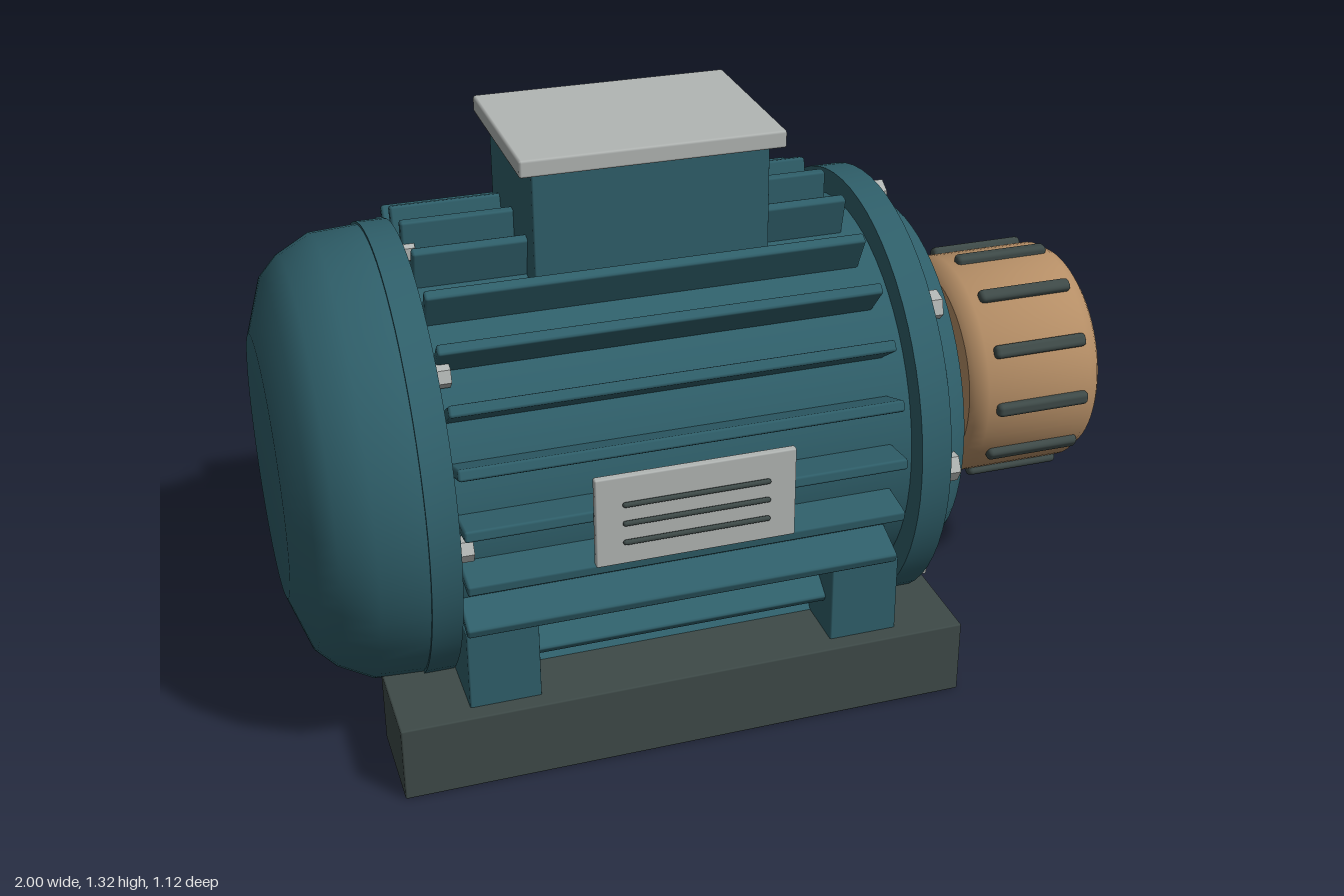
import * as THREE from 'three';
import { toCreasedNormals } from 'three/addons/utils/BufferGeometryUtils.js';
import { RoundedBoxGeometry } from 'three/addons/geometries/RoundedBoxGeometry.js';

const material = (name, color) => {
  const m = new THREE.MeshStandardMaterial({ color });
  m.name = name;
  return m;
};

export function createModel() {
  const teal = material('teal paint', 0x2f5f6a);
  const dark = material('dark rubber', 0x3e4a48);
  const tan = material('tan coupling', 0xb58e66);
  const steel = material('light steel', 0xb2b6b4);

  const model = new THREE.Group();
  model.name = 'electricMotor';

  // Everything that turns or repeats around the shaft hangs on this axis (along x)
  const axis = new THREE.Group();
  axis.name = 'motorAxis';
  axis.position.set(0, 0.575, -0.012);
  model.add(axis);

  const add = (parent, name, geometry, mat, x = 0, y = 0, z = 0) => {
    const mesh = new THREE.Mesh(geometry, mat);
    mesh.name = name;
    mesh.position.set(x, y, z);
    parent.add(mesh);
    return mesh;
  };

  // Turned part: profile of [x, radius] pairs, from -x to +x
  const turned = (name, profile, mat, crease = 0.45) => {
    const points = profile.map(([x, r]) => new THREE.Vector2(r, x));
    const geometry = new THREE.LatheGeometry(points, 64);
    geometry.rotateZ(-Math.PI / 2);
    add(axis, name, toCreasedNormals(geometry, crease), mat);
  };

  // Box given by its limits
  const block = (name, mat, [x0, x1], [y0, y1], [z0, z1], bevel = 0.004) =>
    add(model, name, new RoundedBoxGeometry(x1 - x0, y1 - y0, z1 - z0, 1, bevel), mat,
      (x0 + x1) / 2, (y0 + y1) / 2, (z0 + z1) / 2);

  // Copies of a part set evenly around the shaft, the first one on top
  const ring = (name, count, radius, x, geometry, mat) => {
    const group = new THREE.Group();
    group.name = name + 's';
    for (let i = 0; i < count; i++) {
      const arm = new THREE.Group();
      arm.rotation.x = (i / count) * Math.PI * 2;
      add(arm, name, geometry, mat, x, radius, 0);
      group.add(arm);
    }
    axis.add(group);
  };

  // Housing, rear cowl and front bell
  turned('housing', [[-0.70, 0], [-0.70, 0.46], [0.40, 0.46], [0.40, 0]], teal);
  turned('rearCowl', [[-1, 0], [-1, 0.3], [-0.957, 0.425], [-0.915, 0.468], [-0.84, 0.508],
    [-0.735, 0.514], [-0.70, 0.514]], teal);
  turned('rearFlange', [[-0.735, 0.5], [-0.735, 0.52], [-0.668, 0.52], [-0.668, 0.45]], teal);
  turned('frontFlange', [[0.368, 0.44], [0.368, 0.52], [0.438, 0.52], [0.438, 0.46]], teal);
  turned('frontBell', [[0.43, 0.478], [0.457, 0.476], [0.513, 0.425], [0.548, 0.29], [0.548, 0]], teal);

  // Cooling fins
  ring('coolingFin', 26, 0.495, -0.172, new RoundedBoxGeometry(0.986, 0.11, 0.026, 1, 0.006), teal);

  // Hexagonal bolt heads, flat side outward
  const boltHead = (length, radius) => {
    const geometry = new THREE.CylinderGeometry(radius, radius, length, 6);
    geometry.rotateZ(-Math.PI / 2);
    geometry.rotateX(Math.PI / 2);
    return toCreasedNormals(geometry, 0.3);
  };
  ring('frontBolt', 8, 0.473, 0.452, boltHead(0.034, 0.035), steel);
  ring('rearBolt', 8, 0.48, -0.655, boltHead(0.034, 0.028), steel);

  // Shaft and coupling with grip ribs
  turned('shaft', [[0.53, 0], [0.53, 0.116], [0.996, 0.116], [1, 0.112], [1, 0]], steel);
  turned('coupling', [[0.615, 0], [0.615, 0.238], [0.625, 0.252], [0.652, 0.268], [0.916, 0.268],
    [0.943, 0.252], [0.953, 0.238], [0.953, 0]], tan, 0.6);
  ring('gripRib', 12, 0.268, 0.79, new RoundedBoxGeometry(0.236, 0.034, 0.032, 2, 0.011), dark);

  // Terminal box and lid
  block('terminalBox', teal, [-0.415, 0.115], [0.95, 1.285], [-0.208, 0.187]);
  block('terminalLid', steel, [-0.445, 0.147], [1.277, 1.317], [-0.229, 0.207], 0.006);

  // Legs and base rails, mirrored about the shaft
  for (const side of [1, -1]) {
    const span = (a, b) => [-0.012 + side * a, -0.012 + side * b].sort((p, q) => p - q);
    block('baseRail', dark, [-0.826, 0.484], [0, 0.18], span(0.3, 0.534));
    for (const x of [-0.665, 0.173]) {
      block('leg', teal, [x, x + 0.16], [0.17, 0.37], span(0.3, 0.495));
    }
  }

  // Rating plate with engraved lines
  block('ratingPlate', steel, [-0.393, 0.052], [0.526, 0.738], [0.535, 0.553]);
  for (const y of [0.581, 0.627, 0.672]) {
    const line = new THREE.CapsuleGeometry(0.006, 0.316, 3, 8);
    line.rotateZ(Math.PI / 2);
    add(model, 'plateLine', line, dark, -0.171, y, 0.557);
  }

  return model;
}
